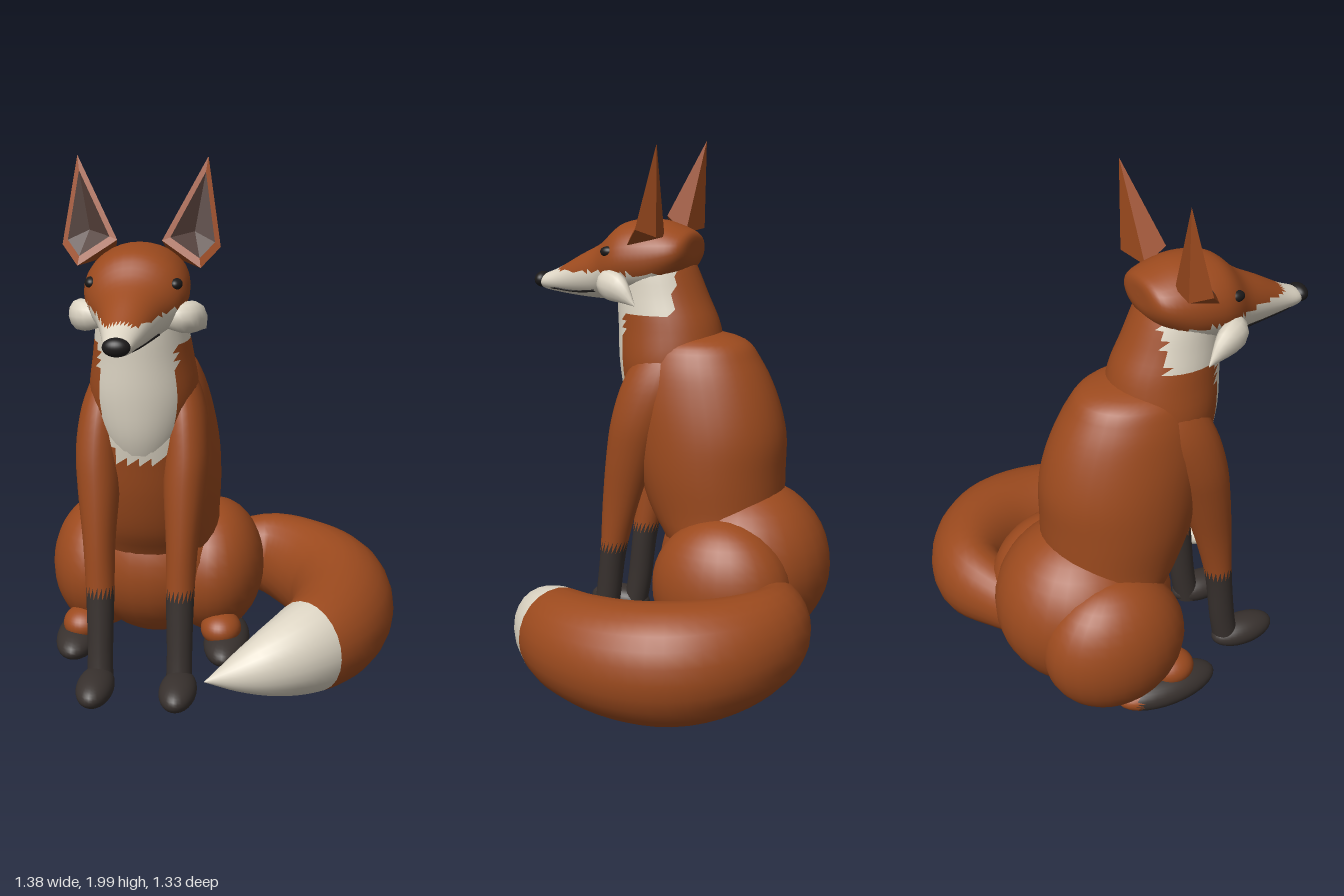
import * as THREE from 'three';

const ORANGE = 0x9c4a1e, WHITE = 0xddd5c4, DARK = 0x38312e, BLACK = 0x1c1a1a, INNER = 0x4e3a34;
const X = 0.265; // the body sits this far to the right of the origin
const Y_AXIS = new THREE.Vector3(0, 1, 0), Z_AXIS = new THREE.Vector3(0, 0, 1);

// Smooth skin over stations [x, y, z, radiusU, radiusV]; rings follow the path unless an axis is given
function loft(stations, { axis = null, ref = Z_AXIS, rings = 28, sides = 28 } = {}) {
  const path = new THREE.CatmullRomCurve3(stations.map(s => new THREE.Vector3(s[0], s[1], s[2])), false, 'catmullrom');
  const size = new THREE.CatmullRomCurve3(stations.map(s => new THREE.Vector3(s[3], s[4], 0)), false, 'catmullrom');
  const pos = [], index = [];
  for (let i = 0; i <= rings; i++) {
    const c = path.getPoint(i / rings), r = size.getPoint(i / rings);
    const t = axis || path.getTangent(i / rings);
    const u = new THREE.Vector3().crossVectors(t, ref).normalize();
    const v = new THREE.Vector3().crossVectors(u, t);
    for (let j = 0; j < sides; j++) {
      const a = (j / sides) * Math.PI * 2;
      const p = c.clone()
        .addScaledVector(u, Math.cos(a) * Math.max(r.x, 0.001))
        .addScaledVector(v, Math.sin(a) * Math.max(r.y, 0.001));
      pos.push(p.x, p.y, p.z);
      if (i < rings) {
        const k = (j + 1) % sides, o = i * sides;
        index.push(o + j, o + sides + j, o + k, o + k, o + sides + j, o + sides + k);
      }
    }
  }
  const geo = new THREE.BufferGeometry();
  geo.setAttribute('position', new THREE.Float32BufferAttribute(pos, 3));
  geo.setIndex(index);
  geo.computeVertexNormals();
  return geo;
}

function ellipsoid(x, y, z, rx, ry, rz) {
  return new THREE.SphereGeometry(1, 28, 20).scale(rx, ry, rz).translate(x, y, z);
}

// Adds a geometry; a rule (x, y, z) => color splits its triangles into one mesh per color
function add(parent, name, geo, paint) {
  const rule = typeof paint === 'function' ? paint : () => paint;
  const p = geo.attributes.position, idx = geo.index.array, buckets = new Map();
  for (let i = 0; i < idx.length; i += 3) {
    const t = [idx[i], idx[i + 1], idx[i + 2]];
    const mid = f => (f(t[0]) + f(t[1]) + f(t[2])) / 3;
    const color = rule(mid(k => p.getX(k)), mid(k => p.getY(k)), mid(k => p.getZ(k)));
    if (!buckets.has(color)) buckets.set(color, []);
    buckets.get(color).push(...t);
  }
  const part = new THREE.Group();
  part.name = name;
  for (const [color, tris] of buckets) {
    const g = geo.clone();
    g.setIndex(tris);
    const mesh = new THREE.Mesh(g, new THREE.MeshStandardMaterial({ color, side: THREE.DoubleSide }));
    mesh.name = name + (color === WHITE ? 'White' : color === DARK ? 'Dark' : 'Main');
    part.add(mesh);
  }
  parent.add(part);
}

// Pointed ear: folded shell behind, rim and recessed dark hollow in front
function addEar(parent, s) {
  const P = (x, y, z) => new THREE.Vector3(s * x, y, z);
  const tip = P(0.235, 2, 0.02), outer = P(0.285, 1.69, 0.085), front = P(0.22, 1.625, 0.15), inner = P(0.08, 1.715, 0.12);
  const backIn = P(0.1, 1.65, 0.05), backOut = P(0.23, 1.66, 0.025);
  const rim = [tip, outer, front, inner];
  const centre = P(0.2, 1.76, 0.095);
  const inset = rim.map((p, i) => p.clone().lerp(centre, i === 0 ? 0.22 : 0.24));
  const deep = P(0.19, 1.74, 0.06);
  const faces = (name, tris, color) => {
    const g = new THREE.BufferGeometry().setFromPoints(tris.flat());
    g.setIndex([...Array(tris.length * 3).keys()]);
    g.computeVertexNormals();
    // mirrored side has its corners reversed, so swap them back
    if (s > 0) g.setIndex(g.index.array.length ? [...g.index.array].map((_, i) => i - (i % 3) + [0, 2, 1][i % 3]) : []);
    g.computeVertexNormals();
    add(parent, name, g, color);
  };
  const shell = [[tip, inner, backIn], [tip, backIn, backOut], [tip, backOut, outer],
    [outer, backOut, front], [front, backOut, backIn], [front, backIn, inner]].map(([a, b, c]) => [a, c, b]);
  const hollow = [];
  for (let i = 0; i < 4; i++) {
    const k = (i + 1) % 4;
    shell.push([rim[i], inset[k], rim[k]], [rim[i], inset[i], inset[k]]);
    hollow.push([inset[i], deep, inset[k]]);
  }
  // normals should face away from the ear's core
  const core = P(0.18, 1.72, 0.07);
  const orient = (tris, flipRef) => tris.map(([a, b, c]) => {
    const n = b.clone().sub(a).cross(c.clone().sub(a));
    const out = n.dot(a.clone().add(b).add(c).divideScalar(3).sub(flipRef)) > 0;
    return out === (s < 0) ? [a, b, c] : [a, c, b];
  });
  faces('ear', orient(shell, core), ORANGE);
  faces('earHollow', orient(hollow, P(0.19, 1.74, -0.3)), INNER);
}

export function createModel() {
  const model = new THREE.Group();
  model.name = 'fox';
  const body = new THREE.Group();
  body.name = 'body';
  body.position.x = -X;
  model.add(body);

  // torso, neck and pelvis, with a pale bib down the chest
  const bib = (x, y, z) => {
    if (y > 1.36) return z > 0 && y < 1.53 ? WHITE : ORANGE;
    return z > 0.1 && y > 0.92 && Math.abs(x) < Math.min(0.14, 0.07 + (y - 0.9) * 0.6) ? WHITE : ORANGE;
  };
  add(body, 'torso', loft([
    [0, 0.2, -0.2, 0.15, 0.15], [0, 0.45, -0.18, 0.25, 0.22], [0, 0.6, -0.135, 0.258, 0.265],
    [0, 0.75, -0.11, 0.267, 0.292], [0, 0.9, -0.095, 0.262, 0.308], [0, 1.05, -0.065, 0.24, 0.3],
    [0, 1.18, -0.045, 0.205, 0.255], [0, 1.26, -0.035, 0.15, 0.19], [0, 1.3, -0.02, 0.001, 0.001],
  ], { axis: Y_AXIS, rings: 36, sides: 36 }), bib);
  add(body, 'neck', loft([
    [0, 0.85, 0.1, 0.08, 0.08], [0, 1.0, 0.075, 0.16, 0.167], [0, 1.15, 0.06, 0.2, 0.207], [0, 1.3, 0.072, 0.183, 0.203],
    [0, 1.42, 0.1, 0.165, 0.18], [0, 1.55, 0.125, 0.148, 0.145], [0, 1.62, 0.13, 0.1, 0.1],
  ], { axis: Y_AXIS, rings: 26, sides: 32 }), bib);
  add(body, 'pelvis', ellipsoid(0, 0.39, -0.255, 0.32, 0.33, 0.335), ORANGE);

  // head with tapering snout, pale jaw
  add(body, 'head', loft([
    [0, 1.6, -0.035, 0.001, 0.001], [0, 1.6, -0.03, 0.1, 0.055], [0, 1.585, 0.01, 0.15, 0.095], [0, 1.565, 0.1, 0.178, 0.142],
    [0, 1.553, 0.2, 0.186, 0.152], [0, 1.537, 0.27, 0.17, 0.147], [0, 1.502, 0.35, 0.125, 0.112],
    [0, 1.478, 0.45, 0.09, 0.083], [0, 1.455, 0.55, 0.062, 0.05], [0, 1.446, 0.62, 0.043, 0.028], [0, 1.446, 0.63, 0.001, 0.001],
  ], { axis: Z_AXIS, ref: new THREE.Vector3(0, -1, 0), rings: 40, sides: 32 }),
  (x, y, z) => (z > 0.54 || y < 1.51 - Math.max(0, z - 0.3) * 0.06 ? WHITE : ORANGE));
  add(body, 'nose', ellipsoid(0, 1.452, 0.632, 0.047, 0.032, 0.032), BLACK);

  for (const s of [-1, 1]) {
    add(body, 'eye', ellipsoid(s * 0.147, 1.59, 0.265, 0.024, 0.021, 0.032), BLACK);
    const mouth = [[0.02, 1.425, 0.615], [0.048, 1.425, 0.55], [0.064, 1.42, 0.45], [0.098, 1.43, 0.35]];
    add(body, 'mouthLine', new THREE.TubeGeometry(new THREE.CatmullRomCurve3(
      mouth.map(([x, y, z]) => new THREE.Vector3(s * x, y, z))), 16, 0.005, 6), BLACK);
    add(body, 'cheekTuft', loft([
      [s * 0.11, 1.475, 0.27, 0.03, 0.04], [s * 0.17, 1.47, 0.25, 0.05, 0.055],
      [s * 0.21, 1.455, 0.19, 0.038, 0.052], [s * 0.235, 1.4, 0.11, 0.001, 0.001],
    ], { ref: Y_AXIS, rings: 12, sides: 12 }), WHITE);
    addEar(body, s);

    // front leg with dark stocking and paw
    add(body, 'frontLeg', loft([
      [s * 0.15, 0.06, 0.3, 0.05, 0.05], [s * 0.15, 0.2, 0.275, 0.048, 0.05], [s * 0.15, 0.4, 0.25, 0.053, 0.052],
      [s * 0.155, 0.6, 0.215, 0.06, 0.073], [s * 0.16, 0.8, 0.168, 0.078, 0.098], [s * 0.165, 0.95, 0.125, 0.083, 0.115],
      [s * 0.155, 1.1, 0.075, 0.075, 0.12], [s * 0.135, 1.22, 0.045, 0.045, 0.08], [s * 0.13, 1.26, 0.04, 0.001, 0.001],
    ], { axis: Y_AXIS, rings: 32, sides: 20 }), (x, y, z) => (y < 0.43 ? DARK : ORANGE));
    add(body, 'frontPaw', ellipsoid(s * 0.155, 0.083, 0.37, 0.07, 0.058, 0.133), DARK);

    // hind leg folded beneath the haunch
    add(body, 'haunch', ellipsoid(s * 0.225, 0.34, -0.245, 0.202, 0.27, 0.275), ORANGE);
    add(body, 'hock', ellipsoid(s * 0.275, 0.155, -0.03, 0.08, 0.065, 0.09), ORANGE);
    add(body, 'hindPaw', ellipsoid(s * 0.295, 0.09, -0.06, 0.09, 0.065, 0.205), (x, y, z) => (z < -0.2 ? ORANGE : DARK));
  }

  // tail sweeping round the left side, pale tip in front
  add(model, 'tail', loft([
    [-0.2, 0.27, -0.38, 0.08, 0.1], [-0.02, 0.28, -0.475, 0.11, 0.13], [0.17, 0.275, -0.525, 0.14, 0.175],
    [0.345, 0.25, -0.435, 0.178, 0.205], [0.46, 0.23, -0.28, 0.2, 0.22], [0.485, 0.222, -0.09, 0.2, 0.212],
    [0.44, 0.222, 0.11, 0.183, 0.195], [0.345, 0.222, 0.26, 0.155, 0.172], [0.23, 0.212, 0.365, 0.118, 0.128],
    [0.115, 0.195, 0.427, 0.068, 0.07], [0, 0.18, 0.475, 0.001, 0.001],
  ], { ref: Y_AXIS, rings: 44, sides: 24 }), (x, y, z) => (z > 0.66 * x - 0.005 ? WHITE : ORANGE));

  return model;
}
